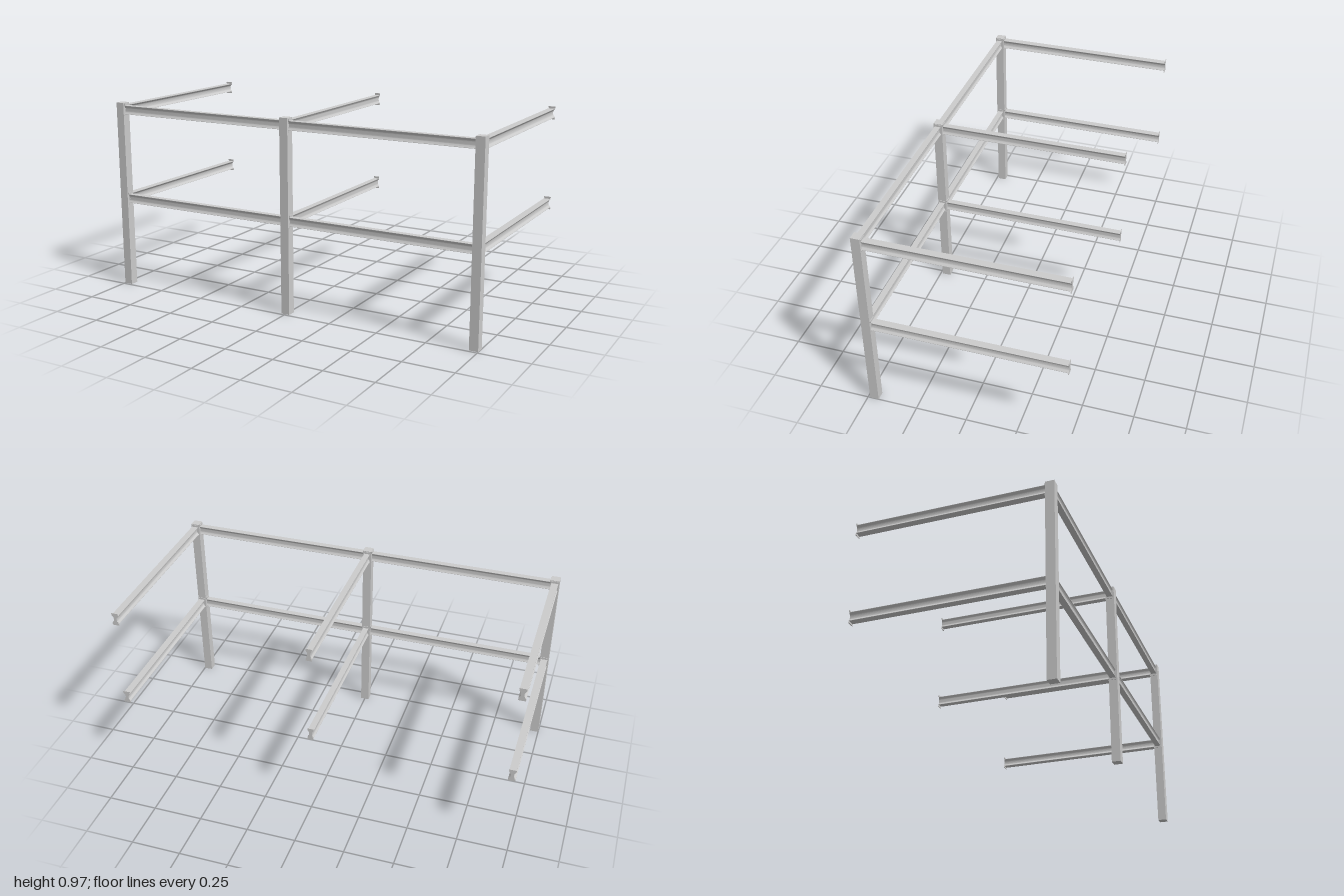
import * as THREE from 'three';
import { toCreasedNormals } from 'three/addons/utils/BufferGeometryUtils.js';

const POST = 0.044, HEIGHT = 0.967, POST_Z = 0.467, POST_X = 0.978;
const LEVELS = [0.931, 0.466];
const material = new THREE.MeshStandardMaterial({ color: 0xcccccc });

// I-shaped section: thin flanges joined by concave sides
function section(width, height, waist, flange) {
  const w = width / 2, h = height / 2, k = h - flange, c = waist - w;
  const s = new THREE.Shape();
  s.moveTo(-w, -h);
  s.lineTo(w, -h);
  s.lineTo(w, -k);
  s.quadraticCurveTo(c, 0, w, k);
  s.lineTo(w, h);
  s.lineTo(-w, h);
  s.lineTo(-w, k);
  s.quadraticCurveTo(-c, 0, -w, -k);
  return s;
}

function extrude(shape, depth) {
  const g = new THREE.ExtrudeGeometry(shape, { depth, bevelEnabled: false, curveSegments: 10 });
  g.translate(0, 0, -depth / 2);
  return toCreasedNormals(g, 0.6);
}

function addMesh(parent, geometry, name, z = 0) {
  const mesh = new THREE.Mesh(geometry, material);
  mesh.name = name;
  mesh.position.z = z;
  parent.add(mesh);
  return mesh;
}

// Beam along z with a taller thin plate at each end
function makeBeam(name, length, width) {
  const beam = new THREE.Group();
  beam.name = name;
  addMesh(beam, extrude(section(width, 0.044, 0.012, 0.002), length - 0.002), 'beamProfile');
  const plate = extrude(section(width, 0.065, 0.014, 0.006), 0.003);
  for (const side of [-1, 1]) addMesh(beam, plate, 'endPlate', side * (length / 2 - 0.0015));
  return beam;
}

export function createModel() {
  const model = new THREE.Group();
  model.name = 'beamFrame';

  // Square posts along the front
  const postGeometry = new THREE.BoxGeometry(POST, HEIGHT, POST);
  for (const x of [-POST_X, 0, POST_X]) {
    addMesh(model, postGeometry, 'post', POST_Z).position.set(x, HEIGHT / 2, POST_Z);
  }

  const front = POST_Z - POST / 2, back = -0.489;
  for (const y of LEVELS) {
    // Beams running back from each post
    for (const x of [-POST_X, 0, POST_X]) {
      const beam = makeBeam('crossBeam', front - back, x === 0 ? 0.03 : 0.035);
      beam.position.set(x, y, (front + back) / 2);
      model.add(beam);
    }
    // Beams between neighbouring posts
    for (const side of [-1, 1]) {
      const beam = makeBeam('frontBeam', POST_X - POST, 0.03);
      beam.rotation.y = Math.PI / 2;
      beam.position.set(side * POST_X / 2, y, POST_Z);
      model.add(beam);
    }
  }
  return model;
}
